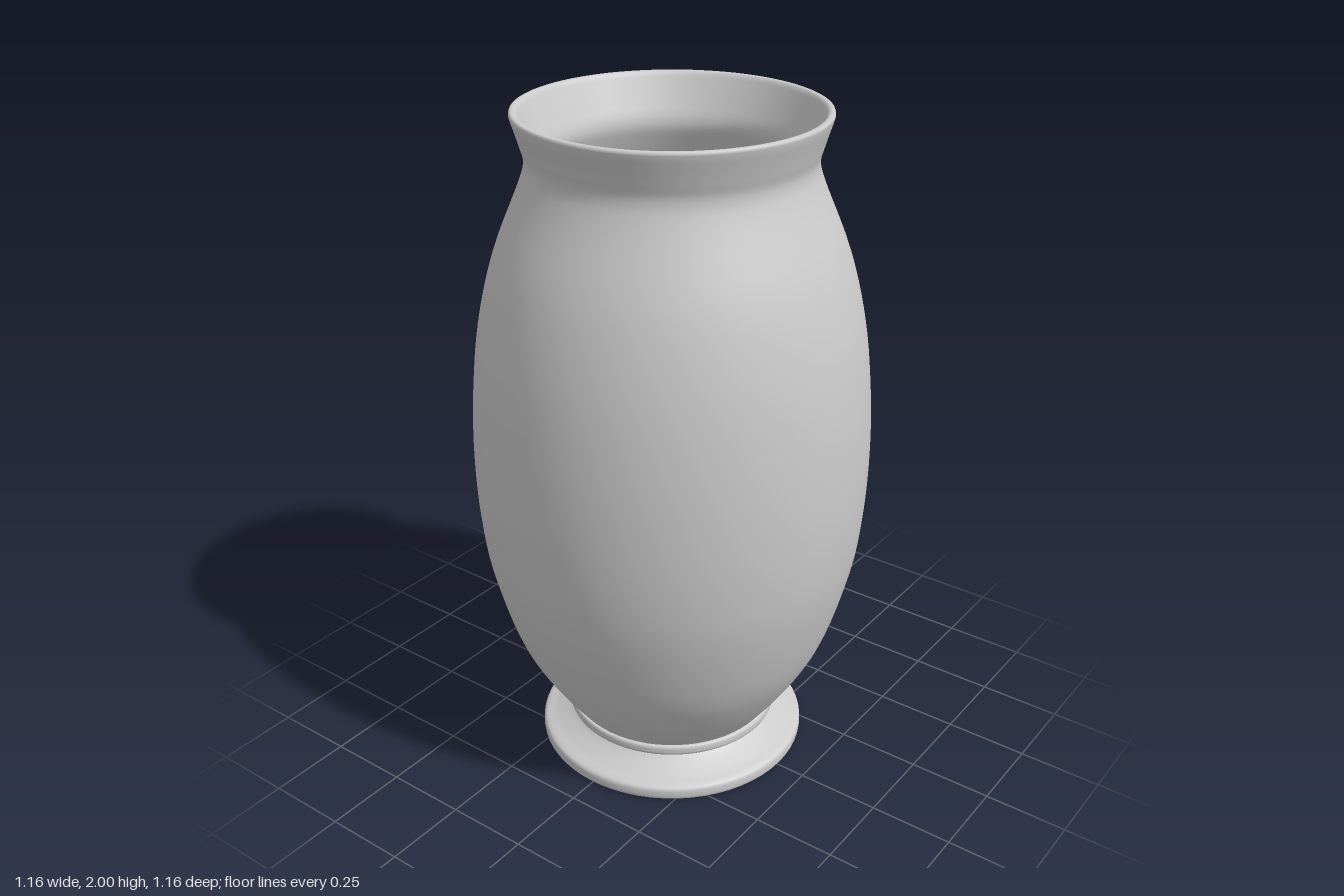
import * as THREE from 'three';

const SEGMENTS = 64;
const material = new THREE.MeshStandardMaterial({ color: 0xcccccc });

const vectors = (pairs) => pairs.map(([r, y]) => new THREE.Vector2(r, y));
// Smooth run of profile points through a few control points
const smooth = (pairs, n) => new THREE.SplineCurve(vectors(pairs)).getPoints(n);

function lathe(name, points) {
  const mesh = new THREE.Mesh(new THREE.LatheGeometry(points, SEGMENTS), material);
  mesh.name = name;
  return mesh;
}

export function createModel() {
  const vase = new THREE.Group();
  vase.name = 'vase';

  // Outside of the body, from above the bead up to the flared mouth
  const outer = smooth([
    [0.315, 0.13], [0.4, 0.25], [0.48, 0.4], [0.545, 0.62], [0.572, 0.8], [0.58, 1],
    [0.572, 1.2], [0.547, 1.4], [0.497, 1.6], [0.42, 1.79], [0.4, 1.86], [0.41, 1.91], [0.43, 1.975],
  ], 60);
  // Rounded lip
  const lip = smooth([[0.434, 1.99], [0.432, 1.998], [0.424, 2], [0.415, 1.997], [0.408, 1.985]], 8);
  // Inside wall and floor of the hollow
  const inner = smooth([
    [0.38, 1.92], [0.36, 1.86], [0.38, 1.79], [0.457, 1.6], [0.507, 1.4], [0.532, 1.2],
    [0.54, 1], [0.532, 0.8], [0.505, 0.62], [0.44, 0.4], [0.36, 0.26], [0.28, 0.185],
    [0.16, 0.16], [0, 0.155],
  ], 60);
  vase.add(lathe('body', [...outer, ...lip, ...inner]));

  // Rounded bead between body and foot
  vase.add(lathe('bead', smooth([
    [0.29, 0.097], [0.318, 0.098], [0.325, 0.105], [0.326, 0.115],
    [0.325, 0.125], [0.318, 0.131], [0.29, 0.133],
  ], 24)));

  // Spreading foot with a rounded edge
  vase.add(lathe('foot', smooth([
    [0.385, 0.002], [0.402, 0], [0.411, 0.006], [0.413, 0.02], [0.411, 0.036],
    [0.4, 0.045], [0.37, 0.056], [0.325, 0.08], [0.3, 0.102],
  ], 36)));

  // Hollow underside of the foot
  vase.add(lathe('footUnderside', vectors([
    [0, 0.1], [0.2, 0.099], [0.24, 0.094], [0.27, 0.082], [0.32, 0.05], [0.365, 0.018], [0.385, 0.002],
  ])));

  return vase;
}
